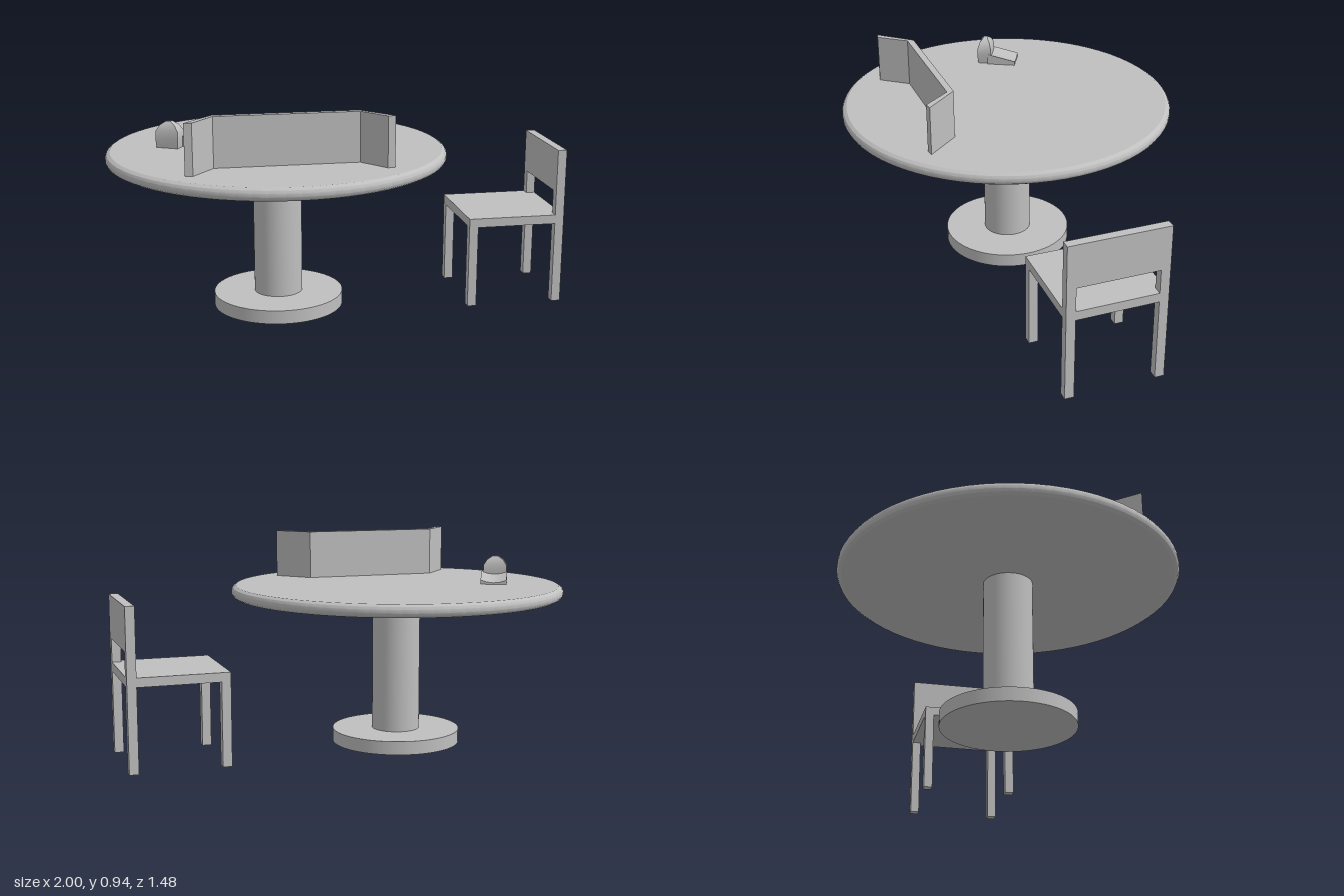
import * as THREE from 'three';
import { toCreasedNormals } from 'three/addons/utils/BufferGeometryUtils.js';

const grey = new THREE.MeshStandardMaterial({ color: 0xbfbfbf });
grey.name = 'plain grey';

function part(parent, name, geometry, x = 0, y = 0, z = 0) {
  const mesh = new THREE.Mesh(geometry, grey);
  mesh.name = name;
  mesh.position.set(x, y, z);
  parent.add(mesh);
  return mesh;
}

// Box given by its minimum and maximum corners
function boxBetween(parent, name, [x0, y0, z0], [x1, y1, z1]) {
  return part(parent, name, new THREE.BoxGeometry(x1 - x0, y1 - y0, z1 - z0),
    (x0 + x1) / 2, (y0 + y1) / 2, (z0 + z1) / 2);
}

// Closed solid made of rectangular rings stacked upwards: [y, halfX, halfZ]
function stackedRings(rings) {
  const positions = [], index = [];
  for (const [y, hx, hz] of rings) {
    positions.push(-hx, y, hz, hx, y, hz, hx, y, -hz, -hx, y, -hz);
  }
  for (let r = 0; r < rings.length - 1; r++) {
    for (let i = 0; i < 4; i++) {
      const a = r * 4 + i, b = r * 4 + (i + 1) % 4;
      index.push(a, b, b + 4, a, b + 4, a + 4);
    }
  }
  const t = (rings.length - 1) * 4;
  index.push(0, 2, 1, 0, 3, 2, t, t + 1, t + 2, t, t + 2, t + 3);
  const geometry = new THREE.BufferGeometry();
  geometry.setAttribute('position', new THREE.Float32BufferAttribute(positions, 3));
  geometry.setIndex(index);
  return toCreasedNormals(geometry, 0.8);
}

function makeTable() {
  const table = new THREE.Group();
  table.name = 'table';
  table.position.x = -0.258;
  // Round top with a softened rim
  const rim = [[0, 0.668], [0.722, 0.668], [0.736, 0.677], [0.742, 0.688],
    [0.742, 0.703], [0.736, 0.714], [0.722, 0.723], [0, 0.723]];
  const top = new THREE.LatheGeometry(rim.map(([r, y]) => new THREE.Vector2(r, y)), 72);
  part(table, 'tableTop', toCreasedNormals(top, 0.5));
  part(table, 'pedestal', new THREE.CylinderGeometry(0.107, 0.107, 0.61, 48), 0, 0.365, 0);
  part(table, 'tableBase', new THREE.CylinderGeometry(0.288, 0.288, 0.06, 64), 0, 0.03, 0);
  return table;
}

function makeChair() {
  const chair = new THREE.Group();
  chair.name = 'chair';
  const w = 0.216, t = 0.04;
  boxBetween(chair, 'seat', [0.566, 0.365, -w], [0.96, 0.405, w]);
  boxBetween(chair, 'seatRear', [0.96, 0.365, t - w], [1, 0.405, w - t]);
  boxBetween(chair, 'backrest', [0.96, 0.51, t - w], [1, 0.7, w - t]);
  for (const z of [-w, w - t]) {
    boxBetween(chair, 'frontLeg', [0.566, 0, z], [0.606, 0.365, z + t]);
    boxBetween(chair, 'backPost', [0.96, 0, z], [1, 0.7, z + t]);
  }
  return chair;
}

// Three-sided folding screen, outline seen from above
function makeScreen() {
  const outline = [[-0.565, 0.34], [0.041, 0.34], [0.164, 0.48], [0.132, 0.486],
    [0.041, 0.369], [-0.565, 0.369], [-0.656, 0.486], [-0.688, 0.48]];
  const shape = new THREE.Shape(outline.map(([x, z]) => new THREE.Vector2(x, -z)));
  const geometry = new THREE.ExtrudeGeometry(shape, { depth: 0.215, bevelEnabled: false });
  geometry.rotateX(-Math.PI / 2);
  geometry.translate(0, 0.722, 0);
  return new THREE.Mesh(geometry, grey);
}

// Small desk device: domed block with a low sloping slab behind it
function makeDevice() {
  const device = new THREE.Group();
  device.name = 'deskDevice';
  device.position.set(-0.733, 0.722, -0.035);
  device.rotation.y = -0.49;
  part(device, 'domedBlock', stackedRings([[0, 0.05, 0.029], [0.04, 0.053, 0.033],
    [0.075, 0.052, 0.031], [0.1, 0.036, 0.023], [0.116, 0.012, 0.01]]), 0, 0, -0.029);

  const slab = new THREE.BoxGeometry(0.115, 0.03, 0.13, 4, 1, 4);
  const p = slab.attributes.position;
  for (let i = 0; i < p.count; i++) {
    const across = p.getX(i) / 0.0575, along = 0.5 - p.getZ(i) / 0.13;
    // Top slopes away from the block and dips along its middle
    const height = 0.05 - 0.03 * along - 0.012 * (1 - across * across);
    p.setY(i, p.getY(i) > 0 ? height : 0);
  }
  slab.computeVertexNormals();
  part(device, 'slopingSlab', slab, 0.002, 0, -0.112);
  return device;
}

export function createModel() {
  const model = new THREE.Group();
  model.name = 'tableAndChair';
  const screen = makeScreen();
  screen.name = 'foldingScreen';
  model.add(makeTable(), makeChair(), screen, makeDevice());
  return model;
}
